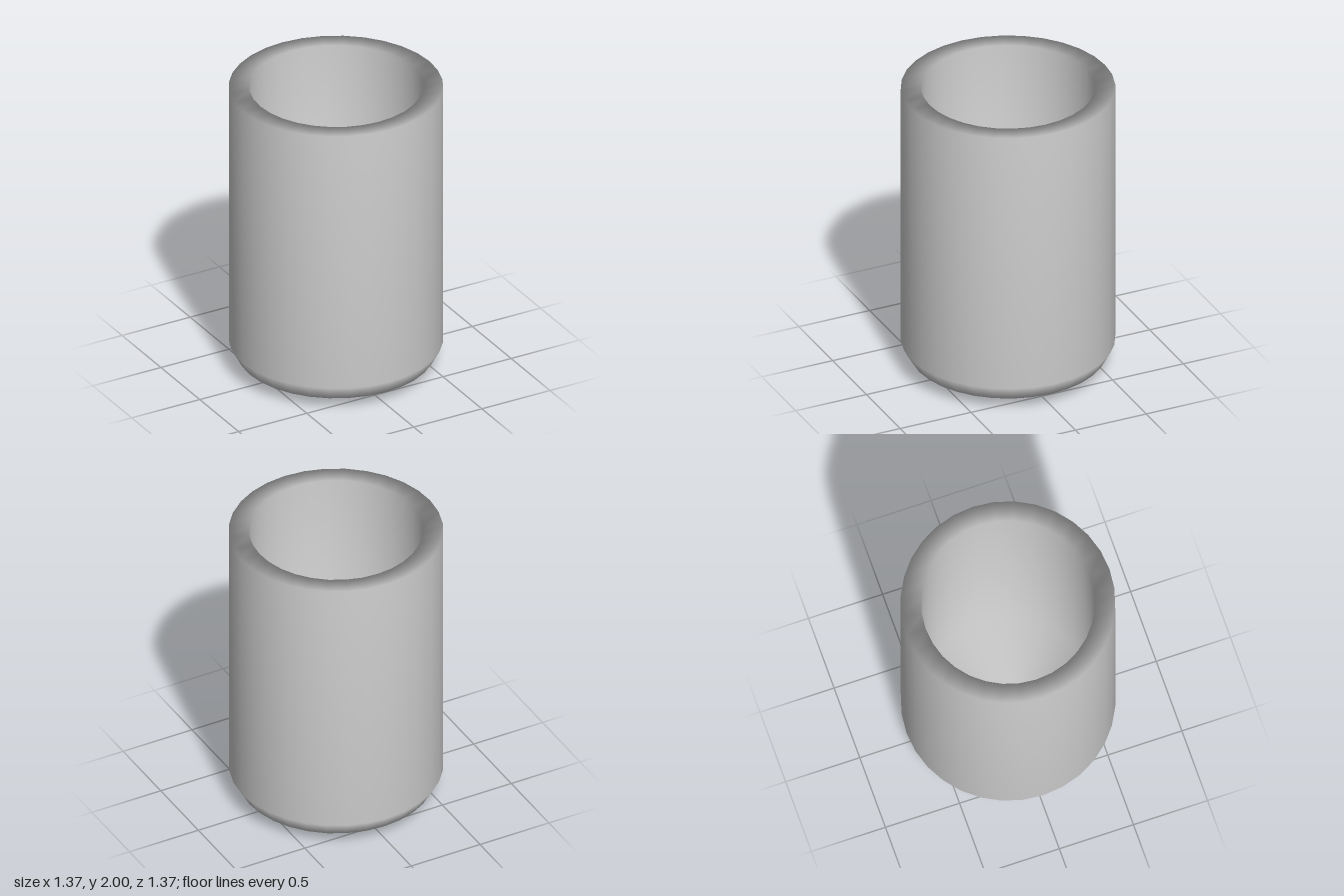
import * as THREE from 'three';

export function createModel() {
  const model = new THREE.Group();
  model.name = 'cup';

  const outer = 0.685, inner = 0.555, height = 2, floorY = 0.18;

  // Closed profile: underside, rounded foot, outer wall, rim, inner wall, cavity floor
  const profile = [
    [0, 0], [0.43, 0], [0.63, 0.08], [outer, 0.18],
    [outer, height], [inner, height],
    [inner, floorY], [0, floorY],
  ].map(([r, y]) => new THREE.Vector2(r, y));

  const cupBody = new THREE.Mesh(
    new THREE.LatheGeometry(profile, 32),
    new THREE.MeshStandardMaterial({ color: 0xcccccc })
  );
  cupBody.name = 'cupBody';
  model.add(cupBody);

  return model;
}
